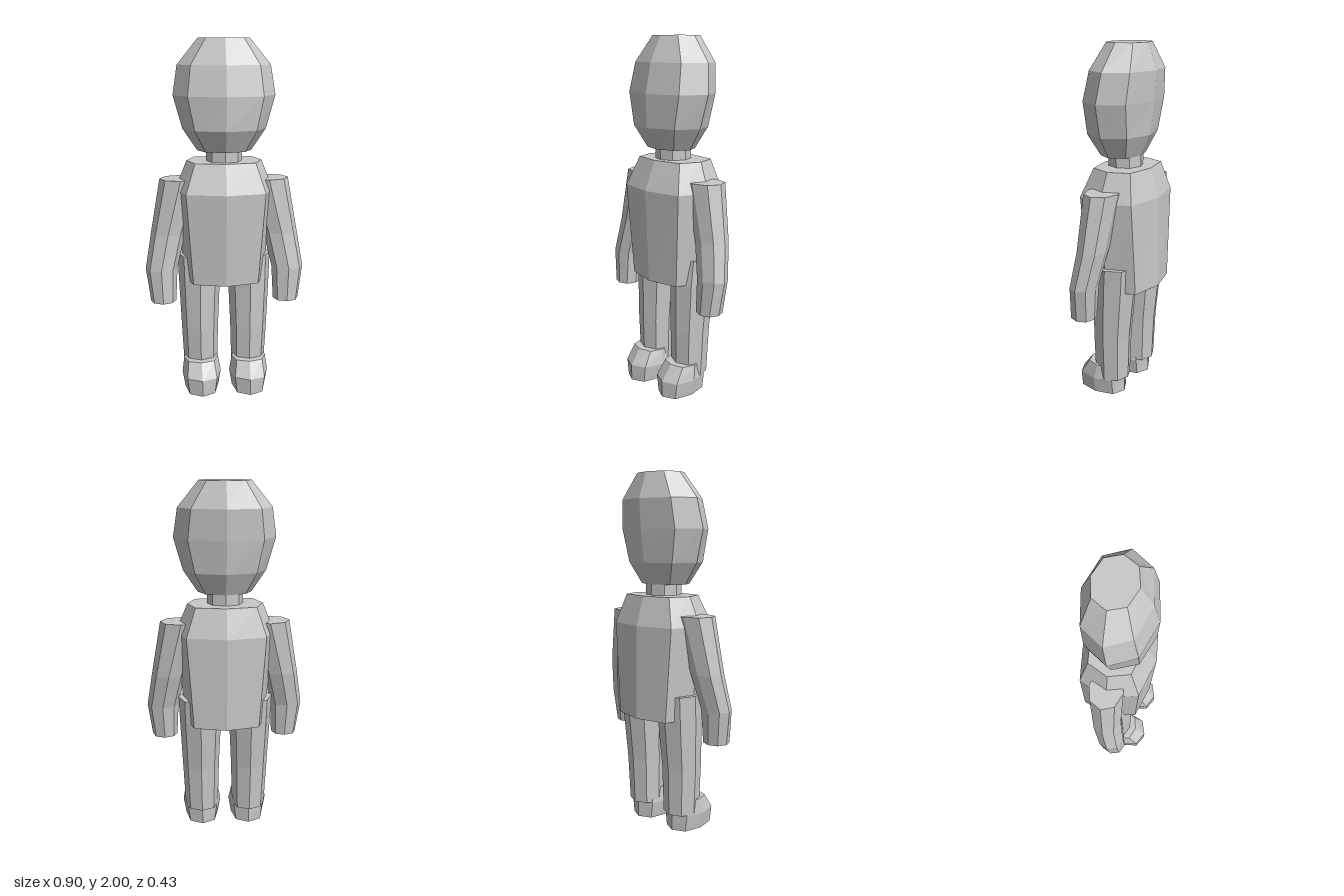
import * as THREE from 'three';

const SIDES = 8;

// Closed loft through eight-sided rings, listed bottom to top.
// ring: [y, centre x, half width, back z, front z]; k sets how boxy the diagonals are.
function loft(rings, k = 0.72) {
  const pos = [];
  const corner = ([y, cx, rx, back, front], i) => {
    const a = (i * Math.PI * 2) / SIDES;
    const f = i % 2 ? k / Math.SQRT1_2 : 1;
    return [
      cx + Math.sin(a) * rx * f,
      y,
      (back + front) / 2 + (Math.cos(a) * f * (front - back)) / 2,
    ];
  };
  const centre = ([y, cx, , back, front]) => [cx, y, (back + front) / 2];
  const tri = (a, b, c) => pos.push(...a, ...b, ...c);
  const low = rings[0];
  const high = rings[rings.length - 1];
  for (let i = 0; i < SIDES; i++) {
    for (let r = 0; r < rings.length - 1; r++) {
      const a = corner(rings[r], i), b = corner(rings[r], i + 1);
      const c = corner(rings[r + 1], i + 1), d = corner(rings[r + 1], i);
      tri(a, b, c);
      tri(a, c, d);
    }
    tri(corner(low, i + 1), corner(low, i), centre(low));
    tri(corner(high, i), corner(high, i + 1), centre(high));
  }
  const g = new THREE.BufferGeometry();
  g.setAttribute('position', new THREE.Float32BufferAttribute(pos, 3));
  g.computeVertexNormals();
  return g;
}

export function createModel() {
  const group = new THREE.Group();
  group.name = 'figure';
  const grey = new THREE.MeshStandardMaterial({ name: 'plain grey', color: 0xc8c8c8, flatShading: true });

  const add = (name, rings, k) => {
    const mesh = new THREE.Mesh(loft(rings, k), grey);
    mesh.name = name;
    group.add(mesh);
  };
  // Same rings on both sides, with the centres mirrored in x
  const addPair = (name, rings, k) => {
    for (const [side, s] of [['left', 1], ['right', -1]]) {
      add(side + name, rings.map(([y, cx, ...rest]) => [y, s * cx, ...rest]), k);
    }
  };

  add('head', [
    [1.40, 0, 0.15, -0.09, 0.13],
    [1.52, 0, 0.23, -0.15, 0.195],
    [1.70, 0, 0.28, -0.17, 0.20],
    [1.86, 0, 0.255, -0.18, 0.165],
    [2.00, 0, 0.14, -0.13, 0.095],
  ]);

  add('neck', [
    [1.30, 0, 0.10, -0.09, 0.10],
    [1.42, 0, 0.10, -0.09, 0.10],
  ]);

  add('torso', [
    [0.66, 0, 0.23, -0.21, 0.19],
    [1.18, 0, 0.275, -0.205, 0.21],
    [1.34, 0, 0.21, -0.155, 0.14],
  ], 0.79);

  addPair('Arm', [
    [0.54, 0.352, 0.072, -0.01, 0.13],
    [0.73, 0.36, 0.09, -0.025, 0.12],
    [0.93, 0.32, 0.097, -0.065, 0.095],
    [1.24, 0.245, 0.117, -0.098, 0.09],
  ]);

  addPair('Leg', [
    [0.10, 0.14, 0.097, -0.095, 0.11],
    [0.37, 0.143, 0.107, -0.105, 0.115],
    [0.66, 0.143, 0.12, -0.135, 0.113],
    [0.80, 0.143, 0.125, -0.145, 0.10],
  ]);

  addPair('Foot', [
    [0.00, 0.138, 0.097, -0.07, 0.215],
    [0.095, 0.138, 0.113, -0.07, 0.215],
    [0.18, 0.14, 0.099, -0.04, 0.15],
  ], 0.75);

  return group;
}
